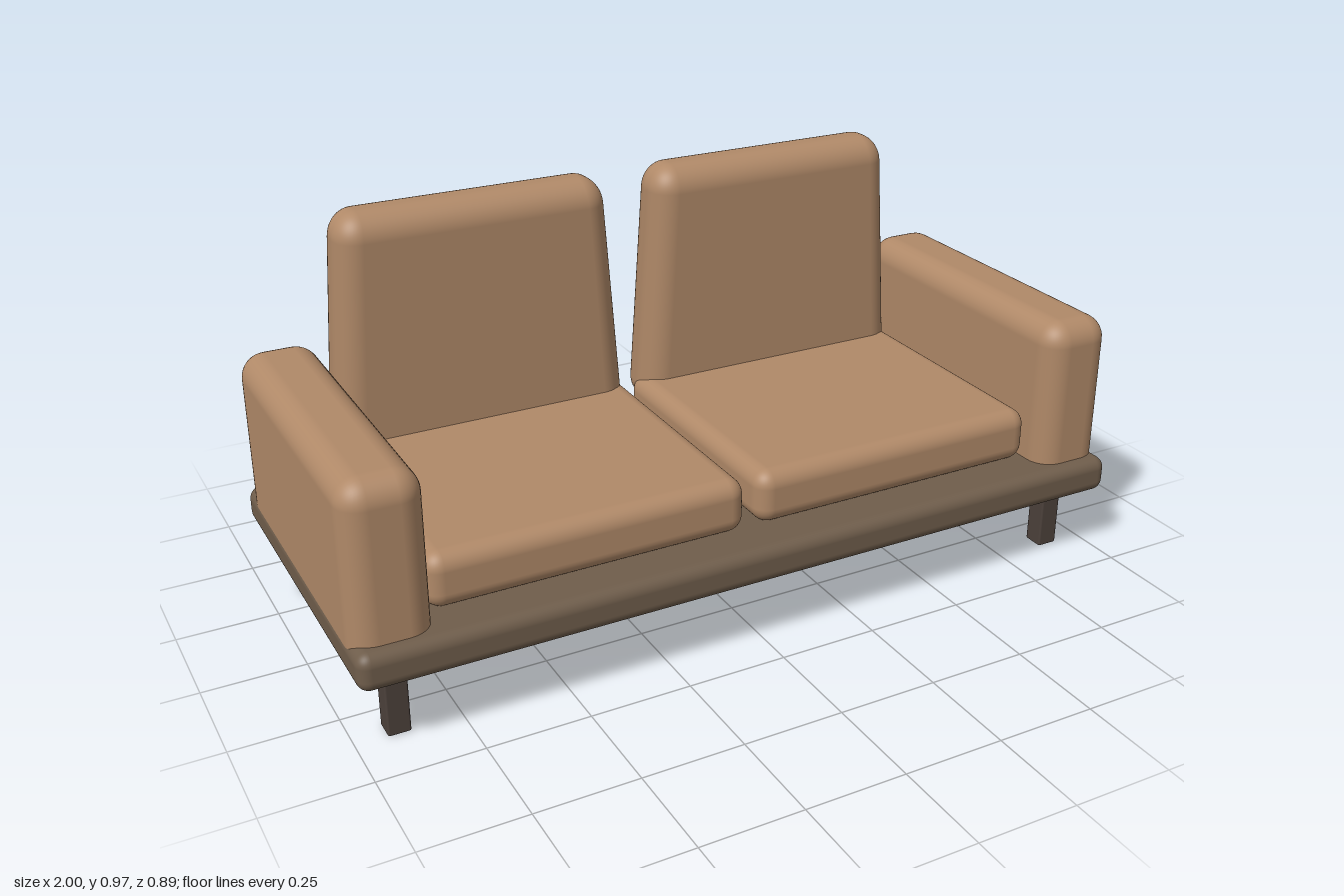
import * as THREE from 'three';
import { RoundedBoxGeometry } from 'three/addons/geometries/RoundedBoxGeometry.js';

export function createModel() {
  const sofa = new THREE.Group();
  sofa.name = 'sofa';

  const material = (name, color) => {
    const m = new THREE.MeshStandardMaterial({ color });
    m.name = name;
    return m;
  };
  const leather = material('tan upholstery', 0xb08968);
  const wood = material('brown base', 0x6f5d4b);
  const darkWood = material('dark legs', 0x4c413b);

  // Rounded block given by its [min, max] extents
  const block = (name, mat, [x0, x1], [y0, y1], [z0, z1], radius, segments = 5) => {
    const geometry = new RoundedBoxGeometry(x1 - x0, y1 - y0, z1 - z0, segments, radius);
    const mesh = new THREE.Mesh(geometry, mat);
    mesh.name = name;
    mesh.position.set((x0 + x1) / 2, (y0 + y1) / 2, (z0 + z1) / 2);
    sofa.add(mesh);
    return mesh;
  };

  // Narrow a block towards its top
  const taper = (mesh, height, topScale) => {
    const p = mesh.geometry.attributes.position;
    for (let i = 0; i < p.count; i++) {
      const t = p.getY(i) / height + 0.5;
      p.setX(i, p.getX(i) * THREE.MathUtils.lerp(1, topScale, t));
    }
  };

  // Platform under the cushions
  block('platform', wood, [-1, 1], [0.175, 0.268], [-0.447, 0.447], 0.03);

  for (const [side, s] of [['left', 1], ['right', -1]]) {
    const span = (a, b) => (s > 0 ? [a, b] : [-b, -a]);

    block(`${side}Armrest`, leather, span(0.81, 0.998), [0.185, 0.646], [-0.413, 0.413], 0.06);
    block(`${side}SeatCushion`, leather, span(0.016, 0.808), [0.266, 0.404], [-0.35, 0.35], 0.042);

    // Back cushion, wider at the bottom
    const back = block(`${side}BackCushion`, leather, span(0.022, 0.808), [0.32, 0.975], [-0.412, -0.26], 0.068, 6);
    taper(back, 0.655, 0.875);

    // Front and back legs
    for (const [end, z] of [['Front', 0.337], ['Back', -0.337]]) {
      block(`${side}${end}Leg`, darkWood, span(0.871, 0.925), [0, 0.18], [z - 0.027, z + 0.027], 0.005, 2);
    }
  }
  return sofa;
}
